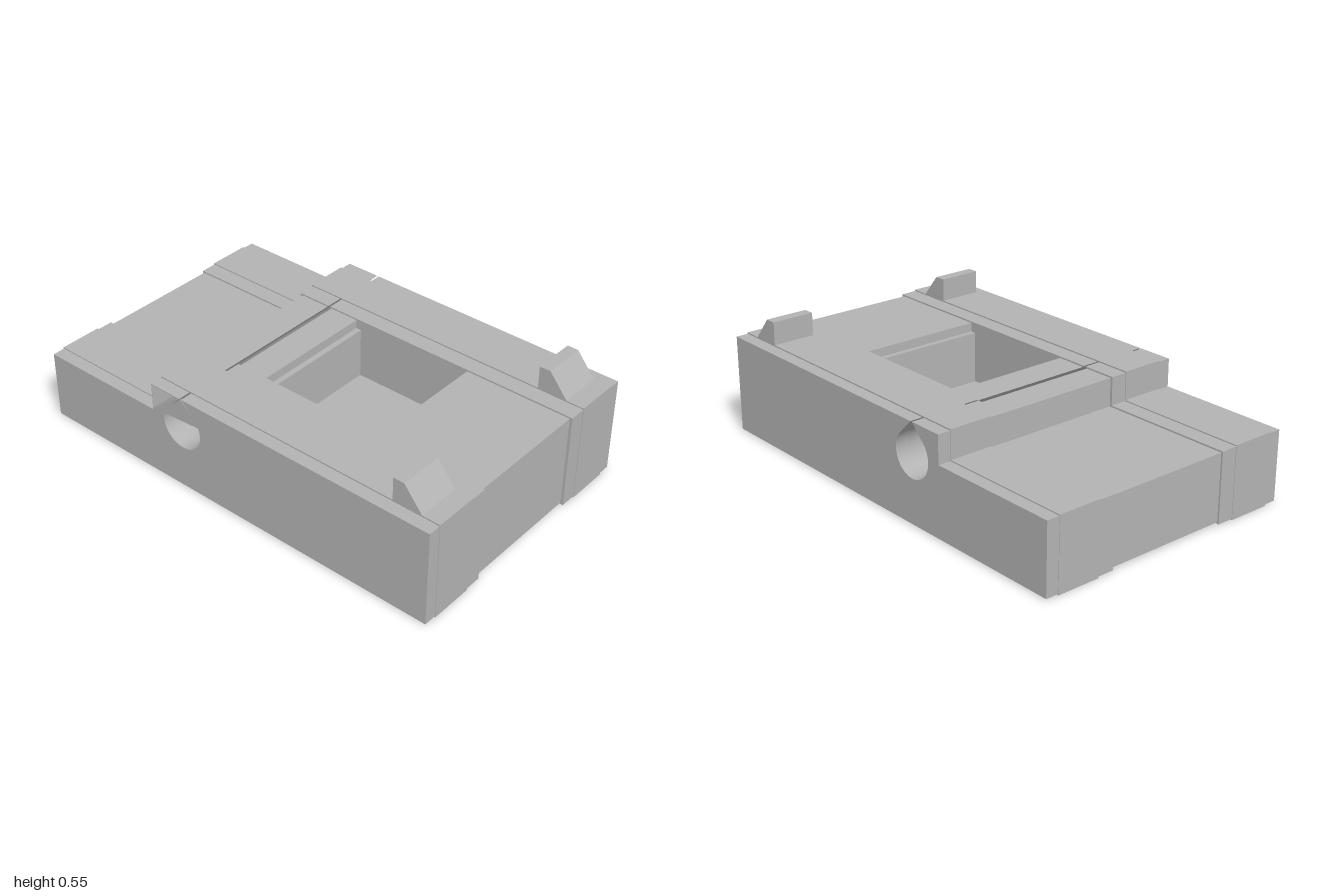
import * as THREE from 'three';
import { toCreasedNormals } from 'three/addons/utils/BufferGeometryUtils.js';

const CX = -0.235, CY = 0.3, R = 0.1, APEX = CY + R * Math.SQRT2;
const grey = new THREE.MeshStandardMaterial({ color: 0xb3b3b3 });
grey.name = 'light grey';

// points on the cross tunnel's circle, angles in degrees
function arc(from, to, n) {
  return Array.from({ length: n + 1 }, (_, i) => {
    const a = THREE.MathUtils.degToRad(from + (to - from) * i / n);
    return [CX + R * Math.cos(a), CY + R * Math.sin(a)];
  });
}

const outline = points => new THREE.Shape(points.map(([x, y]) => new THREE.Vector2(x, y)));

// a side profile swept from z0 to z1
function sweep(name, shape, z0, z1) {
  const flat = new THREE.ExtrudeGeometry(shape, { depth: z1 - z0, bevelEnabled: false });
  const mesh = new THREE.Mesh(toCreasedNormals(flat, 0.4), grey);
  mesh.position.z = z0;
  mesh.name = name;
  return mesh;
}

// stepped block profile with a teardrop tunnel, open at the top where its tip breaks through
function blockProfile({ left, right, base, low, top, step, pocket = [], hollow = false }) {
  const w = APEX - top;
  const tear = arc(45, -225, 36);
  const slot = w > 0 ? [[CX + w, top], ...tear, [CX - w, top]] : [];
  const shape = outline([
    [left, base], [right, base], [right, top], ...pocket, ...slot,
    [step, top], [step, low], [left, low],
  ]);
  if (w <= 0) shape.holes.push(outline([...tear, [CX, APEX]]));
  if (hollow) shape.holes.push(outline([[-0.395, 0.321], [-0.395, 0.433], [-0.256, 0.433]]));
  return shape;
}

export function createModel() {
  const model = new THREE.Group();
  model.name = 'steppedBlock';

  const plate = { left: -0.998, right: 0.998, base: 0.005, low: 0.313, top: 0.437, step: -0.397 };
  const runner = { left: -1, right: 1, base: 0, low: 0.318, top: 0.443, step: -0.4 };
  const center = {
    left: -0.99, right: 0.986, base: 0.012, low: 0.306, top: 0.43, step: -0.386,
    // recess with a narrow ledge at each end
    pocket: [
      [0.495, 0.43], [0.495, 0.39], [0.47, 0.39], [0.47, 0.16],
      [-0.06, 0.16], [-0.06, 0.39], [-0.085, 0.39], [-0.085, 0.43],
    ],
  };

  model.add(sweep('centerBlock', blockProfile(center), -0.285, 0.285));

  const clip = outline([[0.785, 0.44], [0.922, 0.44], [0.835, 0.545], [0.785, 0.545]]);
  for (const side of [1, -1]) {
    const label = side > 0 ? 'front' : 'back';
    const hollow = side > 0; // the front strips have an open corner beside the step
    const add = (part, shape, a, b) =>
      model.add(sweep(label + part, shape, Math.min(a * side, b * side), Math.max(a * side, b * side)));
    add('InnerStrip', blockProfile(plate), 0.285, 0.36);
    add('Runner', blockProfile({ ...runner, hollow }), 0.36, 0.555);
    add('OuterStrip', blockProfile({ ...plate, hollow }), 0.555, 0.612);
    add('Clip', clip, 0.36, 0.555);
  }

  // thin cover over the upper part of the front tunnel opening
  const cover = outline([...arc(23, 45, 4), [CX, 0.437], ...arc(135, 165, 4)]);
  model.add(sweep('tunnelCover', cover, 0.607, 0.612));

  return model;
}
